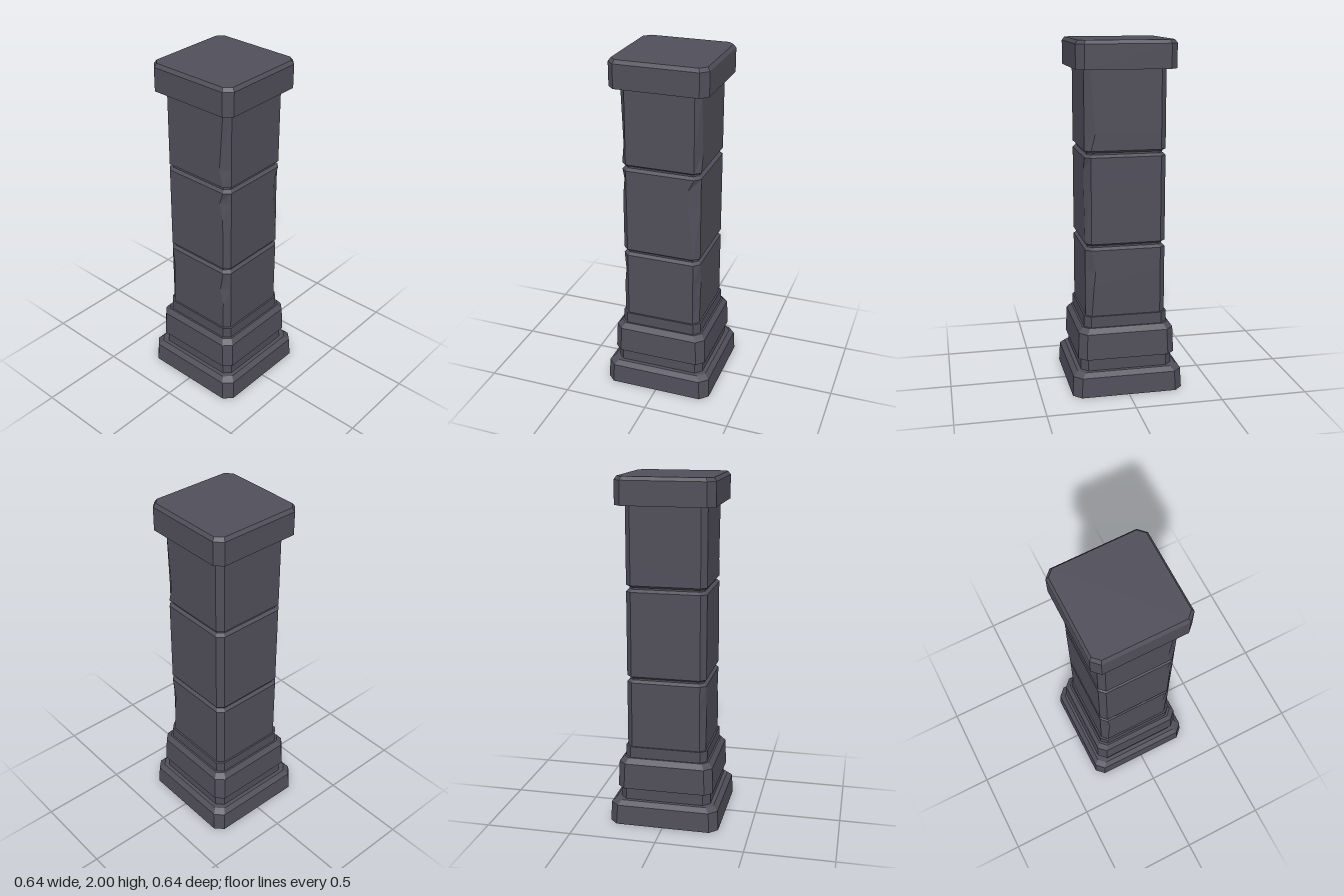
import * as THREE from 'three';

const stone = new THREE.MeshStandardMaterial({ color: 0x504e59, flatShading: true });

// Corners in order around the pillar, as [x sign, z sign]
const CORNERS = [[1, 1], [1, -1], [-1, -1], [-1, 1]];

// Square ring with cut corners. cuts overrides the cut of single points 0..7
// (0: front face at +x, 1: +x face at front, 2: +x face at back, 3: back face at +x,
//  4: back face at -x, 5: -x face at back, 6: -x face at front, 7: front face at -x)
function ring([y, half, cut, cuts = {}]) {
  const points = [];
  for (let i = 0; i < 8; i++) {
    const [sx, sz] = CORNERS[i >> 1];
    const inner = half - (cuts[i] ?? cut);
    const onZFace = i % 4 === 0 || i % 4 === 3;
    points.push(onZFace ? [sx * inner, y, sz * half] : [sx * half, y, sz * inner]);
  }
  return points;
}

// Closed solid lofted through the rings from bottom to top
function loft(name, sections) {
  const rings = sections.map(ring);
  const positions = rings.flat(2);
  const index = [];
  for (let r = 0; r < rings.length - 1; r++) {
    for (let i = 0; i < 8; i++) {
      const a = r * 8 + i, b = r * 8 + (i + 1) % 8;
      index.push(a, b, b + 8, a, b + 8, a + 8);
    }
  }
  const top = (rings.length - 1) * 8;
  for (let i = 1; i < 7; i++) {
    index.push(0, i + 1, i, top, top + i, top + i + 1);
  }
  const indexed = new THREE.BufferGeometry();
  indexed.setAttribute('position', new THREE.Float32BufferAttribute(positions, 3));
  indexed.setIndex(index);
  const geometry = indexed.toNonIndexed();
  geometry.computeVertexNormals();
  const mesh = new THREE.Mesh(geometry, stone);
  mesh.name = name;
  return mesh;
}

// Shaft block with beveled ends; chips are [y, cuts] rows between them
function block(name, y0, y1, bottomBevel, topBevel, chips) {
  const h = 0.23, c = 0.032, inset = 0.214;
  const sections = chips.map(([y, cuts]) => [y, h, c, cuts]);
  sections.unshift([y0 + bottomBevel, h, c]);
  sections.push([y1 - topBevel, h, c]);
  if (bottomBevel) sections.unshift([y0, inset, 0.028], [y0 + 0.005, inset, 0.028]);
  if (topBevel) sections.push([y1 - 0.005, inset, 0.028], [y1, inset, 0.028]);
  return loft(name, sections);
}

export function createModel() {
  const group = new THREE.Group();
  group.name = 'stonePillar';

  // Stepped foot
  group.add(
    loft('base', [[0, 0.32, 0.046], [0.115, 0.314, 0.046], [0.14, 0.288, 0.04]]),
    loft('lowerNeck', [[0.14, 0.265, 0.038], [0.21, 0.265, 0.038]]),
    loft('plinth', [[0.21, 0.28, 0.043], [0.36, 0.274, 0.043], [0.39, 0.25, 0.036]]),
    loft('collar', [[0.39, 0.24, 0.035], [0.455, 0.24, 0.035]])
  );

  // Shaft blocks with chipped corners
  group.add(
    block('lowerBlock', 0.455, 0.86, 0, 0.02, [
      [0.63, { 0: 0.03, 3: 0.045, 7: 0.04 }],
      [0.72, { 0: 0.052, 3: 0.055, 7: 0.047 }]
    ]),
    block('middleBlock', 0.86, 1.385, 0.017, 0.02, [
      [1.2, { 0: 0.034, 2: 0.064 }],
      [1.295, { 0: 0.057, 2: 0.065 }]
    ]),
    block('upperBlock', 1.385, 1.845, 0.017, 0, [
      [1.5, { 0: 0.057, 3: 0.057 }]
    ])
  );

  // Cap slab
  group.add(loft('cap', [[1.845, 0.28, 0.042], [1.98, 0.28, 0.042], [2, 0.266, 0.036]]));

  return group;
}
